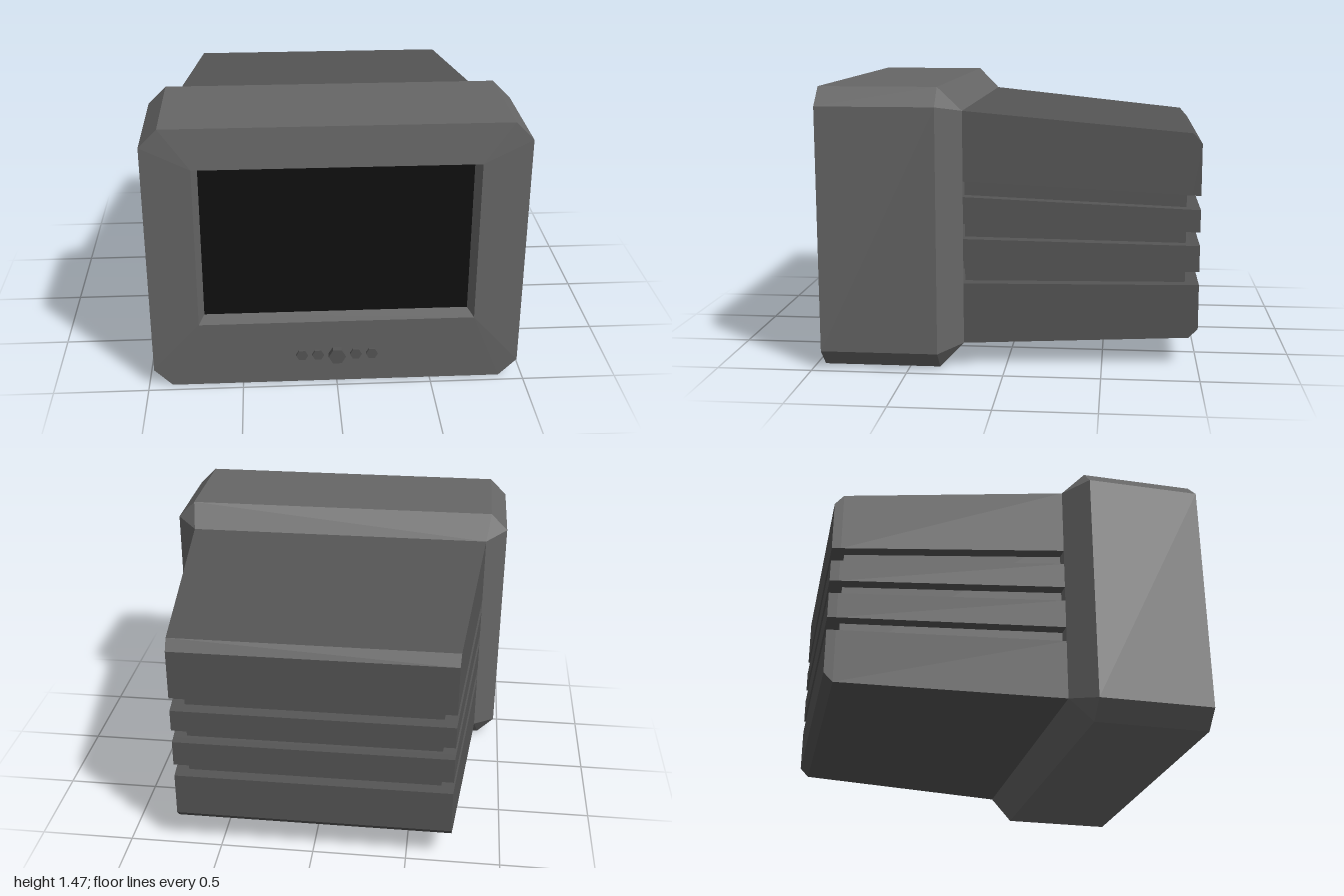
import * as THREE from 'three';

const paint = (color) => new THREE.MeshStandardMaterial({ color, flatShading: true });

// Rectangle with corners cut by c, counter-clockwise seen from the front
function ring(w, y0, y1, z, c = 0) {
  return [
    [-w + c, y0], [w - c, y0], [w, y0 + c], [w, y1 - c],
    [w - c, y1], [-w + c, y1], [-w, y1 - c], [-w, y0 + c],
  ].map(([x, y]) => new THREE.Vector3(x, y, z));
}

// Skin over rings listed from front to back
function loft(name, material, rings, capFront = true) {
  const pos = [];
  const tri = (a, b, c) => {
    const area = b.clone().sub(a).cross(c.clone().sub(a)).length();
    if (area > 1e-7) for (const p of [a, b, c]) pos.push(p.x, p.y, p.z);
  };
  for (let k = 0; k < rings.length - 1; k++) {
    const f = rings[k], b = rings[k + 1];
    for (let i = 0; i < 8; i++) {
      const j = (i + 1) % 8;
      tri(f[i], b[i], b[j]);
      tri(f[i], b[j], f[j]);
    }
  }
  const first = rings[0], last = rings[rings.length - 1];
  for (let i = 1; i < 7; i++) {
    if (capFront) tri(first[0], first[i], first[i + 1]);
    tri(last[0], last[i + 1], last[i]);
  }
  const geo = new THREE.BufferGeometry();
  geo.setAttribute('position', new THREE.Float32BufferAttribute(pos, 3));
  geo.computeVertexNormals();
  const mesh = new THREE.Mesh(geo, material);
  mesh.name = name;
  return mesh;
}

export function createModel() {
  const model = new THREE.Group();
  model.name = 'monitor';
  const shell = paint(0x666666), rear = paint(0x555555);
  const dark = paint(0x0f0f0f), knobPaint = paint(0x555555);

  // Front housing: screen recess, sloped bezel, chamfered box, rear taper
  model.add(loft('housing', shell, [
    ring(0.693, 0.4, 1.235, 0.905),
    ring(0.72, 0.378, 1.255, 0.977),
    ring(0.97, 0, 1.465, 0.955, 0.095),
    ring(0.97, 0, 1.465, 0.343, 0.095),
    ring(0.85, 0.125, 1.343, 0.22),
  ], false));

  // Screen at the bottom of the recess
  const screen = new THREE.Mesh(new THREE.PlaneGeometry(1.386, 0.835), dark);
  screen.name = 'screen';
  screen.position.set(0, 0.8175, 0.905);
  model.add(screen);

  // Tapering rear case: four slabs with cooling slots between them.
  // Each row: bottom and top at the housing, near the back, and at the back
  const slabs = [
    [0.125, 0.445, 0.15, 0.434, 0.198, 0.434],
    [0.525, 0.68, 0.505, 0.643, 0.504, 0.642],
    [0.76, 0.9, 0.715, 0.833, 0.713, 0.831],
    [0.98, 1.343, 0.907, 1.228, 0.905, 1.174],
  ];
  const rearCase = new THREE.Group();
  rearCase.name = 'rearCase';
  slabs.forEach(([a0, a1, b0, b1, c0, c1], i) => {
    rearCase.add(loft(`rearSlab${i + 1}`, rear, [
      ring(0.85, a0, a1, 0.22),
      ring(0.738, b0, b1, -0.953),
      ring(0.734, c0, c1, -1),
    ]));
  });
  // Inner core seen at the bottom of the slots
  rearCase.add(loft('rearCore', rear, [
    ring(0.78, 0.3, 1.1, 0.22),
    ring(0.67, 0.3, 1.1, -0.93),
  ]));
  model.add(rearCase);

  // Hexagonal knobs below the screen: x, radius, front z
  const knobs = [
    [-0.185, 0.032, 0.978], [-0.1, 0.032, 0.978], [0, 0.046, 1],
    [0.1, 0.032, 0.978], [0.185, 0.032, 0.978],
  ];
  for (const [x, r, z] of knobs) {
    const geo = new THREE.CylinderGeometry(r, r, z - 0.95, 6);
    geo.rotateY(Math.PI / 2).rotateX(Math.PI / 2);
    const knob = new THREE.Mesh(geo, knobPaint);
    knob.name = r > 0.04 ? 'mainKnob' : 'smallKnob';
    knob.position.set(x, 0.173, (z + 0.95) / 2);
    model.add(knob);
  }
  return model;
}
